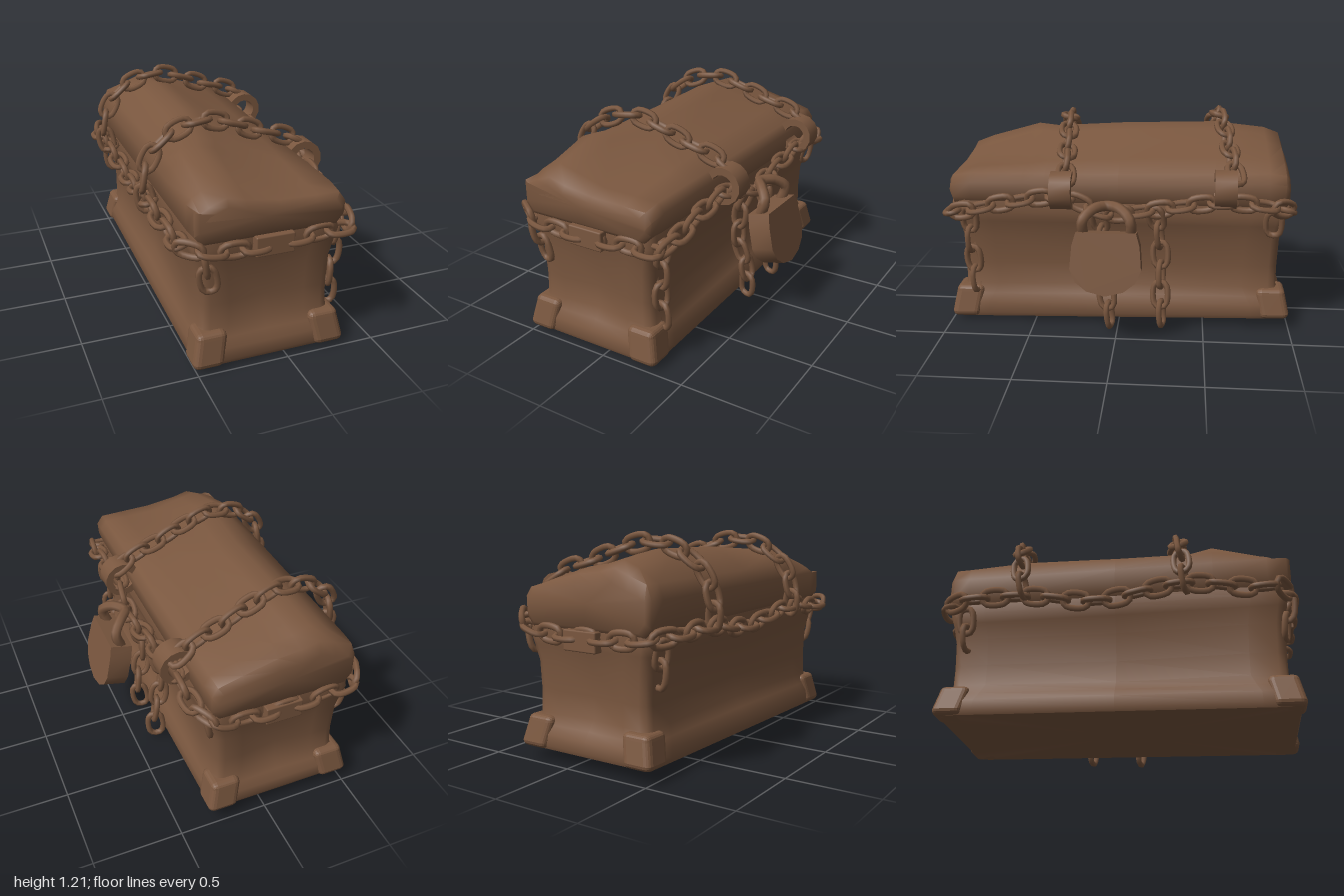
import * as THREE from 'three';
import { mergeGeometries, toCreasedNormals } from 'three/addons/utils/BufferGeometryUtils.js';
import { RoundedBoxGeometry } from 'three/addons/geometries/RoundedBoxGeometry.js';

const V = (x, y, z) => new THREE.Vector3(x, y, z);
const CX = -0.095; // middle of the chest across x

// Skin a stack of equal-length rings and close both ends
function loft(rings, crease) {
  const n = rings[0].length, pos = [], index = [];
  rings.forEach(r => r.forEach(p => pos.push(p.x, p.y, p.z)));
  for (let i = 0; i < rings.length - 1; i++) {
    for (let j = 0; j < n; j++) {
      const a = i * n + j, b = i * n + (j + 1) % n, c = b + n, d = a + n;
      index.push(a, d, c, a, c, b);
    }
  }
  [0, rings.length - 1].forEach((r, end) => {
    const c = rings[r].reduce((s, p) => s.add(p), V(0, 0, 0)).divideScalar(n);
    const ci = pos.length / 3;
    pos.push(c.x, c.y, c.z);
    for (let j = 0; j < n; j++) {
      const a = r * n + j, b = r * n + (j + 1) % n;
      if (end) index.push(ci, b, a); else index.push(ci, a, b);
    }
  });
  const g = new THREE.BufferGeometry();
  g.setAttribute('position', new THREE.Float32BufferAttribute(pos, 3));
  g.setIndex(index);
  g.computeVertexNormals();
  return toCreasedNormals(g, crease);
}

// The floor of the chest rises slightly towards the back
const tilt = p => { p.y += 0.025 * (1 - p.z) * Math.max(0, 1 - p.y / 0.7); return p; };

// Rectangle with cut corners and slightly pinched sides
function bodyRing([y, hx, hz, pinch]) {
  const c = 0.05, ring = [];
  const quarter = [[hx - pinch, 0], [hx, hz - 0.2], [hx, hz - c], [hx - 0.015, hz - 0.015], [hx - c, hz],
    [hx - 0.15, hz], [0, hz - pinch]];
  const add = (x, z) => ring.push(tilt(V(CX + x, y, z)));
  quarter.forEach(([x, z]) => add(x, -z));
  quarter.slice(0, -1).reverse().forEach(([x, z]) => add(-x, -z));
  quarter.slice(1).forEach(([x, z]) => add(-x, z));
  quarter.slice(1, -1).reverse().forEach(([x, z]) => add(x, z));
  return ring;
}

// Lid section: z, inset, ridge height, ridge x, shoulder height, height at x = -0.05
function lidRing([z, inset, ridge, rx, shoulder, mid]) {
  const l = -0.505 + inset, r = 0.31 - inset, low = 0.715 + inset;
  return [[r - 0.04, low], [r, low + 0.05], [r + 0.005, shoulder - 0.05], [r - 0.03, shoulder],
    [0.14, shoulder + (mid - shoulder) * 0.45], [-0.05, mid], [rx + 0.1, ridge - 0.025], [rx, ridge],
    [rx - 0.09, ridge - 0.035], [l + 0.03, Math.min(0.98, ridge - 0.06)], [l, 0.9], [l, low + 0.05],
    [l + 0.04, low], [CX, low]].map(([x, y]) => V(x, y, z));
}

// One stadium-shaped link lying in the xy plane
const linkPath = new THREE.CatmullRomCurve3([[0.07, 0.022], [0.045, 0.04], [-0.045, 0.04], [-0.07, 0.022],
  [-0.07, -0.022], [-0.045, -0.04], [0.045, -0.04], [0.07, -0.022]].map(([x, y]) => V(x, y, 0)), true, 'centripetal');
const link = new THREE.TubeGeometry(linkPath, 16, 0.0175, 6, true);

// Interlocked links along a path, every second one turned a quarter
function chainGeometry(points, ref, closed = false) {
  const curve = new THREE.CatmullRomCurve3(points.map(p => V(...p)), closed, 'centripetal');
  let count = Math.max(1, Math.round(curve.getLength() / 0.115));
  if (closed) count += count % 2;
  const links = [];
  for (let i = 0; i < count; i++) {
    const u = (i + 0.5) / count;
    const t = curve.getTangentAt(u);
    const n = ref.clone().addScaledVector(t, -ref.dot(t)).normalize();
    const b = t.clone().cross(n);
    const m = new THREE.Matrix4().makeBasis(t, n, b).setPosition(curve.getPointAt(u));
    m.multiply(new THREE.Matrix4().makeRotationX((i % 2) * Math.PI / 2 + 0.25));
    links.push(link.clone().applyMatrix4(m));
  }
  return mergeGeometries(links);
}

export function createModel() {
  const model = new THREE.Group();
  model.name = 'chainedChest';
  const brown = new THREE.MeshStandardMaterial({ color: 0x7a573f });
  brown.name = 'brown';
  const add = (name, geometry, parent = model) => {
    const mesh = new THREE.Mesh(geometry, brown);
    mesh.name = name;
    parent.add(mesh);
    return mesh;
  };

  // Body: y, half width, half length, pinch of the sides
  add('body', loft([
    [0.76, 0.385, 0.94, 0], [0.68, 0.4, 0.95, 0], [0.62, 0.385, 0.94, 0.005], [0.52, 0.365, 0.925, 0.02],
    [0.35, 0.358, 0.92, 0.03], [0.22, 0.362, 0.92, 0.025], [0.16, 0.385, 0.945, 0.01],
    [0.11, 0.405, 0.97, 0], [0.045, 0.41, 0.975, 0], [0.02, 0.4, 0.965, 0],
  ].map(bodyRing), 1.1));

  // Corner feet, tapering upwards
  for (const sx of [-1, 1]) for (const sz of [-1, 1]) {
    const foot = new RoundedBoxGeometry(0.17, 0.19, 0.17, 2, 0.035);
    const p = foot.attributes.position;
    for (let i = 0; i < p.count; i++) {
      const k = p.getY(i) > 0 ? 0.025 : 0;
      const v = tilt(V(CX + sx * 0.34 + p.getX(i) - sx * k, 0.115 + p.getY(i), sz * 0.912 + p.getZ(i) - sz * k));
      p.setXYZ(i, v.x, v.y, v.z);
    }
    foot.computeVertexNormals();
    add('cornerFoot', foot);
  }

  // Lid, a lopsided hump that rises towards the back
  add('lid', loft([
    [0.975, 0.03, 0.91, -0.33, 0.86, 0.87], [0.955, 0.005, 0.95, -0.33, 0.89, 0.9],
    [0.85, 0, 0.99, -0.34, 0.905, 0.915], [0.55, 0, 1.075, -0.34, 0.91, 0.96],
    [0.42, 0, 1.07, -0.3, 0.91, 1.0], [0, 0, 1.105, -0.25, 0.915, 1.035],
    [-0.55, 0, 1.12, -0.25, 0.925, 1.05], [-0.85, 0, 1.085, -0.27, 0.935, 1.04],
    [-0.94, 0.005, 1.05, -0.28, 0.925, 1.01], [-0.965, 0.03, 0.98, -0.28, 0.89, 0.95],
  ].map(lidRing), 1.0));

  // Chain belt under the lid
  const Y = V(0, 1, 0), Z = V(0, 0, 1);
  add('beltChain', chainGeometry([
    [0.34, 0.69, 0.94], [0.365, 0.76, 0.62], [0.375, 0.8, 0.31], [0.4, 0.72, 0.05], [0.38, 0.74, -0.2],
    [0.375, 0.79, -0.6], [0.34, 0.75, -0.93], [0.2, 0.7, -0.955], [-0.09, 0.69, -0.955], [-0.35, 0.7, -0.955],
    [-0.53, 0.72, -0.92], [-0.56, 0.73, -0.5], [-0.55, 0.68, -0.1], [-0.57, 0.74, 0.4], [-0.55, 0.7, 0.75],
    [-0.53, 0.7, 0.92], [-0.35, 0.67, 0.955], [-0.09, 0.67, 0.955], [0.2, 0.685, 0.955],
  ], Y, true));

  // Two chains thrown over the lid
  const overLid = (z0, z1, lift) => [[0.4, 0.91], [0.28, 0.985], [0.1, 1.045], [-0.08, 1.115], [-0.24, 1.15],
    [-0.42, 1.105], [-0.54, 1.0], [-0.59, 0.85], [-0.575, 0.72]]
    .map(([x, y], i) => [x, y + lift, z0 + (z1 - z0) * i / 8]);
  add('frontLidChain', chainGeometry(overLid(0.28, 0.4, -0.015), Z));
  add('backLidChain', chainGeometry(overLid(-0.66, -0.5, 0.01), Z));

  // Chains hanging on the walls
  const hanging = [
    [[0.39, 0.72, 0.1], [0.33, 0.55, 0.09], [0.33, 0.35, 0.08], [0.37, 0.2, 0.06], [0.36, 0.03, 0.04]],
    [[0.37, 0.74, -0.21], [0.32, 0.55, -0.24], [0.34, 0.35, -0.25], [0.37, 0.2, -0.25], [0.37, 0.05, -0.26]],
    [[0.32, 0.7, 0.86], [0.295, 0.5, 0.86], [0.29, 0.2, 0.84]],
    [[0.32, 0.72, -0.88], [0.29, 0.58, -0.88]],
    [[-0.5, 0.68, -0.85], [-0.47, 0.48, -0.84]],
    [[-0.45, 0.67, 0.945], [-0.41, 0.46, 0.925]],
  ];
  hanging.forEach(points => add('hangingChain', chainGeometry(points, Z)));

  // Wide cuffs on the long side, joining lid chains and belt
  const cuff = toCreasedNormals(new THREE.LatheGeometry([[0.065, -0.06], [0.108, -0.06], [0.108, 0.06],
    [0.065, 0.06], [0.065, -0.06]].map(([x, y]) => new THREE.Vector2(x, y)), 14).rotateX(Math.PI / 2), 0.7);
  for (const [y, z] of [[0.84, 0.31], [0.865, -0.6]]) add('chainCuff', cuff).position.set(0.365, y, z);

  // Clasp plates on both ends
  for (const z of [0.965, -0.96]) {
    add('claspPlate', new RoundedBoxGeometry(0.21, 0.11, 0.06, 1, 0.008)).position.set(-0.085, 0.675, z);
  }

  // Padlock, leaning outwards
  const lock = new THREE.Group();
  lock.name = 'padlock';
  const shield = new THREE.Shape([[-0.165, 0.17], [-0.185, 0.1], [-0.195, -0.03], [-0.165, -0.1], [-0.1, -0.15],
    [0, -0.175], [0.1, -0.15], [0.165, -0.1], [0.195, -0.03], [0.185, 0.1], [0.165, 0.17]]
    .map(([x, y]) => new THREE.Vector2(x, y)));
  const lockGeometry = new THREE.ExtrudeGeometry(shield, { depth: 0.13, bevelEnabled: false });
  lockGeometry.translate(0, 0, -0.065).rotateY(Math.PI / 2);
  const lockBody = add('padlockBody', toCreasedNormals(lockGeometry, 0.7), lock);
  lockBody.position.set(0.55, 0.483, 0.045);
  lockBody.rotation.z = 0.23;
  const shackle = new THREE.CatmullRomCurve3([V(0.5, 0.62, 0.175), V(0.53, 0.72, 0.175), V(0.48, 0.77, 0.12),
    V(0.43, 0.775, 0.045), V(0.48, 0.77, -0.03), V(0.53, 0.72, -0.085), V(0.5, 0.62, -0.085)]);
  add('padlockShackle', new THREE.TubeGeometry(shackle, 20, 0.03, 7), lock);
  model.add(lock);
  return model;
}
